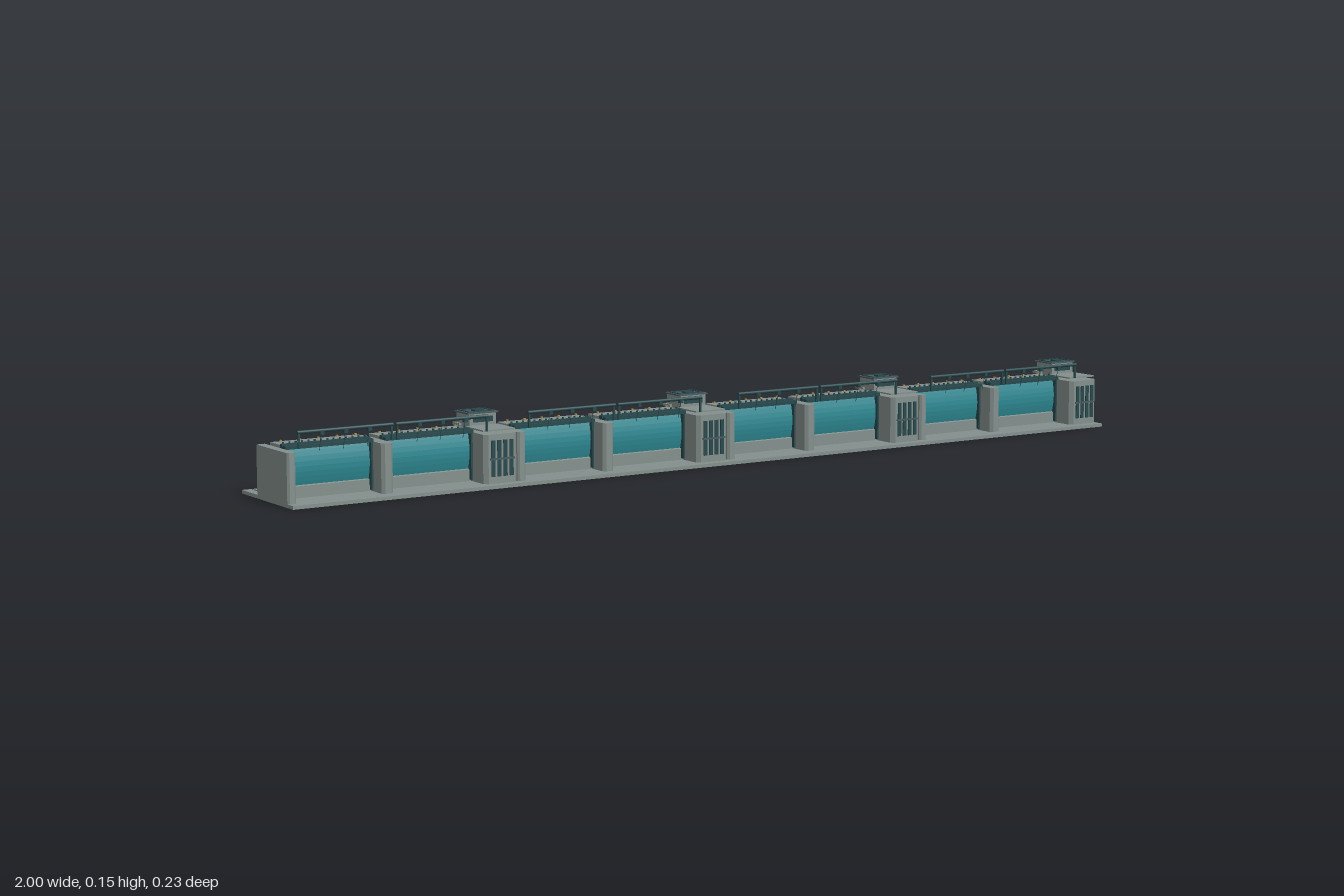
import * as THREE from 'three';

const mat = (name, color) => {
  const m = new THREE.MeshStandardMaterial({ color });
  m.name = name;
  return m;
};

export function createModel() {
  const concrete = mat('concrete', 0x84908d);
  const teal = mat('gate teal', 0x2f8a94);
  const steel = mat('dark steel', 0x27484c);
  const slate = mat('roof slate', 0x4a5a60);
  const gold = mat('gold', 0xb08a3c);
  teal.side = THREE.DoubleSide;

  // Box given by its limits on each axis
  function box(parent, name, m, x0, x1, y0, y1, z0, z1) {
    const mesh = new THREE.Mesh(new THREE.BoxGeometry(x1 - x0, y1 - y0, z1 - z0), m);
    mesh.position.set((x0 + x1) / 2, (y0 + y1) / 2, (z0 + z1) / 2);
    mesh.name = name;
    parent.add(mesh);
    return mesh;
  }

  // Pier with bevelled nose corners, extruded upward from its plan
  function pier(parent, name, x0, x1, y1, zBack, zFront, c) {
    const s = new THREE.Shape([
      [x0, -zFront + c], [x0 + c, -zFront], [x1 - c, -zFront], [x1, -zFront + c], [x1, -zBack], [x0, -zBack],
    ].map(([x, y]) => new THREE.Vector2(x, y)));
    const geo = new THREE.ExtrudeGeometry(s, { depth: y1 - 0.005, bevelEnabled: false });
    geo.rotateX(-Math.PI / 2).translate(0, 0.005, 0);
    const mesh = new THREE.Mesh(geo, concrete);
    mesh.name = name;
    parent.add(mesh);
  }

  // Profile in (z, y) extruded along x
  function along(parent, name, m, pts, x0, x1) {
    const s = new THREE.Shape(pts.map(([z, y]) => new THREE.Vector2(-z, y)));
    const geo = new THREE.ExtrudeGeometry(s, { depth: x1 - x0, bevelEnabled: false });
    geo.rotateY(Math.PI / 2).translate(x0, 0, 0);
    const mesh = new THREE.Mesh(geo, m);
    mesh.name = name;
    parent.add(mesh);
  }

  function bar(parent, name, m, x0, x1, y, z, r) {
    const geo = new THREE.CylinderGeometry(r, r, x1 - x0, 10).rotateZ(Math.PI / 2);
    const mesh = new THREE.Mesh(geo, m);
    mesh.position.set((x0 + x1) / 2, y, z);
    mesh.name = name;
    parent.add(mesh);
  }

  // One gate bay between two piers
  function bay(parent, x0, x1) {
    const g = new THREE.Group();
    g.name = 'gateBay';
    along(g, 'spillway', concrete, [
      [0.036, 0.005], [0.036, 0.03], [0.015, 0.038], [-0.005, 0.034], [-0.03, 0.02],
      [-0.06, 0.011], [-0.105, 0.008], [-0.105, 0.005],
    ], x0, x1);
    // Curved gate skin bulging forward
    const n = 8, pts = [];
    for (let i = 0; i <= n; i++) {
      const t = i / n;
      pts.push([0.031 + 0.007 * Math.sin(Math.PI * t), 0.028 + 0.079 * t]);
    }
    const back = pts.map(([z, y]) => [z - 0.004, y]).reverse();
    along(g, 'gateSkin', teal, [...pts, ...back], x0 + 0.003, x1 - 0.003);
    for (const y of [0.055, 0.075, 0.094]) bar(g, 'gateGirder', steel, x0, x1, y, 0.02, 0.006);
    for (const x of [x0 + 0.02, x1 - 0.02]) box(g, 'gateArm', steel, x - 0.003, x + 0.003, 0.045, 0.1, 0.008, 0.03);
    for (const x of [x0 + 0.002, x1 - 0.002]) box(g, 'gateGuide', steel, x - 0.002, x + 0.002, 0.01, 0.108, 0.03, 0.044);
    // Deck, front girders and kerb posts
    box(g, 'deck', concrete, x0, x1, 0.105, 0.111, -0.02, 0.024);
    box(g, 'frontGirder', steel, x0, x1, 0.104, 0.113, 0.024, 0.034);
    box(g, 'frontGirder', steel, x0, x1, 0.104, 0.111, 0.038, 0.048);
    box(g, 'girderWeb', slate, x0, x1, 0.104, 0.106, 0.034, 0.038);
    for (let i = 0; i < 14; i++) {
      const x = x0 + (x1 - x0) * (i + 0.5) / 14;
      box(g, 'kerbPost', steel, x - 0.0015, x + 0.0015, 0.11, 0.116, 0.022, 0.025);
      if (i % 3 === 1) box(g, 'deckLamp', gold, x - 0.002, x + 0.002, 0.11, 0.114, -0.018, -0.014);
    }
    parent.add(g);
  }

  // Suspended rail in front of the gates
  function rail(parent, x0, x1) {
    const g = new THREE.Group();
    g.name = 'frontRail';
    bar(g, 'railBeam', steel, x0, x1, 0.145, 0.108, 0.0035);
    for (const x of [x0 + 0.003, x1 - 0.003]) {
      box(g, 'railPost', steel, x - 0.002, x + 0.002, 0.115, 0.145, 0.106, 0.11);
    }
    for (let i = 1; i < 4; i++) {
      const x = x0 + (x1 - x0) * i / 4;
      box(g, 'railLamp', steel, x - 0.004, x + 0.004, 0.137, 0.145, 0.104, 0.112);
      const wire = box(g, 'stayWire', steel, x - 0.0004, x + 0.0004, 0.105, 0.136, 0.1015, 0.1023);
      wire.rotation.x = 0.28;
    }
    parent.add(g);
  }

  // Large pier with grille and control tower
  function towerPier(parent) {
    const g = new THREE.Group();
    g.name = 'towerPier';
    pier(g, 'pierBody', 0.425, 0.5, 0.105, -0.025, 0.093, 0.008);
    box(g, 'pierCap', concrete, 0.427, 0.499, 0.11, 0.113, 0.012, 0.083);
    box(g, 'rearColumn', concrete, 0.435, 0.458, 0.005, 0.11, -0.044, -0.025);
    box(g, 'rearColumn', concrete, 0.472, 0.495, 0.005, 0.11, -0.044, -0.025);
    box(g, 'rearWeb', concrete, 0.458, 0.472, 0.005, 0.11, -0.036, -0.025);
    box(g, 'rearLedge', concrete, 0.43, 0.5, 0.11, 0.115, -0.048, -0.02);
    // Front grille
    for (let i = 0; i < 4; i++) {
      const x = 0.443 + i * 0.0137;
      box(g, 'grilleSlot', steel, x - 0.0042, x + 0.0042, 0.021, 0.093, 0.092, 0.095);
    }
    box(g, 'grilleRail', slate, 0.436, 0.491, 0.054, 0.058, 0.092, 0.096);
    // Tower and roof
    box(g, 'tower', concrete, 0.435, 0.496, 0.105, 0.136, -0.039, 0.013);
    box(g, 'towerWindow', steel, 0.443, 0.488, 0.119, 0.13, 0.012, 0.0138);
    box(g, 'roof', slate, 0.431, 0.5, 0.136, 0.139, -0.042, 0.015);
    for (const z of [-0.034, 0.007]) box(g, 'roofFrame', steel, 0.437, 0.494, 0.138, 0.1405, z - 0.002, z + 0.002);
    for (const x of [0.439, 0.492]) box(g, 'roofFrame', steel, x - 0.002, x + 0.002, 0.138, 0.1405, -0.034, 0.007);
    box(g, 'roofHatch', steel, 0.455, 0.476, 0.138, 0.142, -0.015, 0.0);
    parent.add(g);
  }

  const root = new THREE.Group();
  root.name = 'barrage';
  for (let i = 0; i < 4; i++) {
    const section = new THREE.Group();
    section.name = 'section';
    section.position.x = -1 + i * 0.5;
    box(section, 'baseSlab', concrete, 0, 0.5, 0, 0.007, -0.113, 0.113);
    pier(section, 'sidePier', 0, 0.018, 0.105, -0.043, 0.093, 0.004);
    pier(section, 'middlePier', 0.205, 0.23, 0.105, -0.043, 0.083, 0.006);
    bay(section, 0.018, 0.205);
    bay(section, 0.23, 0.425);
    towerPier(section);
    rail(section, 0.014, 0.216);
    rail(section, 0.222, 0.424);
    root.add(section);
  }
  return root;
}
